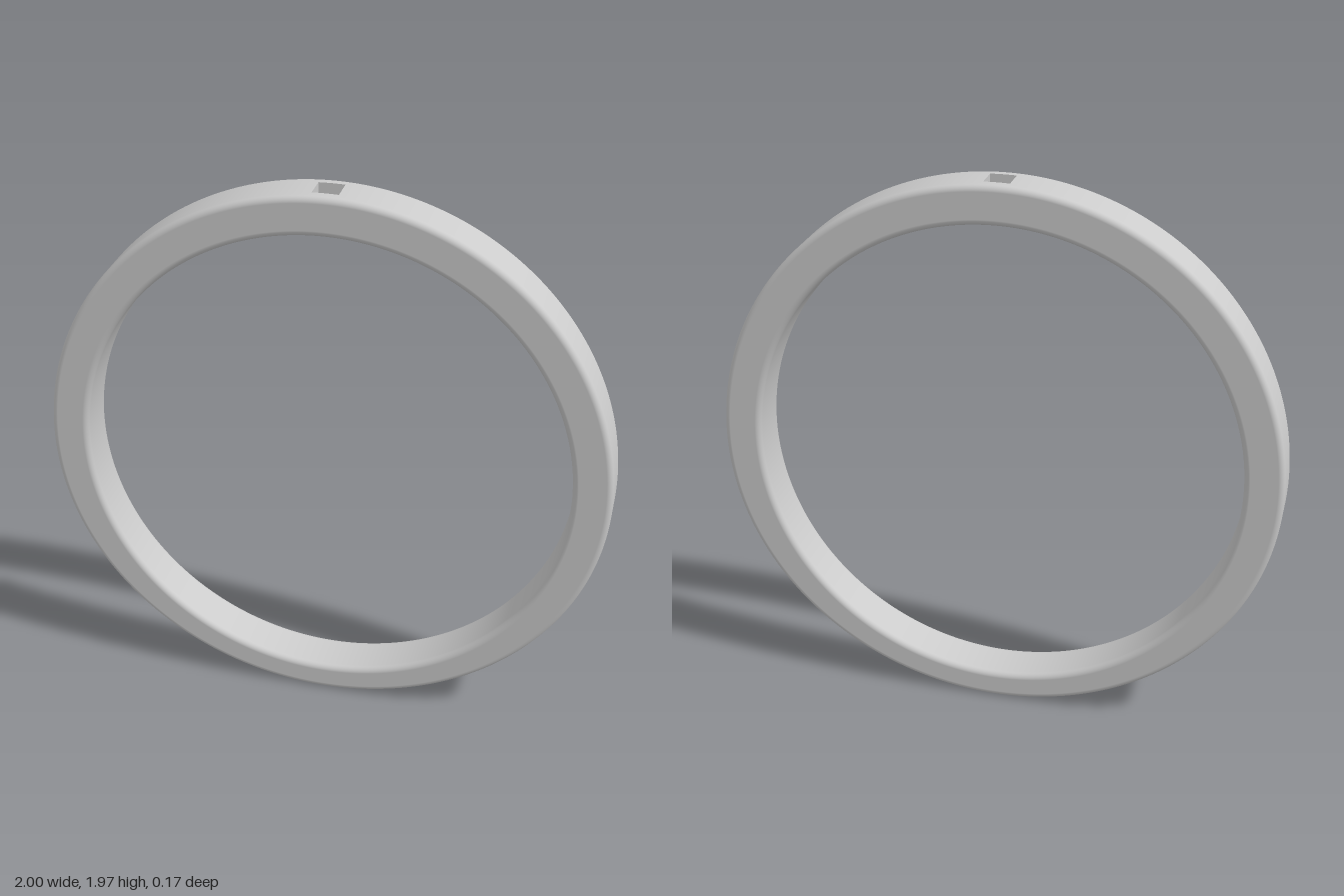
import * as THREE from 'three';

const OUTER = 1, INNER = 0.8625, HALF_DEPTH = 0.0875, FILLET = 0.022;
const CENTRE_Y = 0.965, THINNING = 0.035; // the band gets thinner towards the bottom
const STEPS = 280, POCKET_STEPS = 2;
const POCKET = Math.sin((POCKET_STEPS * 2 * Math.PI) / STEPS); // half width of the square pocket
const POCKET_DEPTH = 0.08;

// Rounded rectangular cross-section: radius, depth and normal of each point
function bandProfile() {
  const points = [-POCKET, POCKET].map(z => ({ r: OUTER, z, nr: 1, nz: 0 }));
  const corners = [[OUTER - FILLET, 1], [INNER + FILLET, 1], [INNER + FILLET, -1], [OUTER - FILLET, -1]];
  corners.forEach(([r, side], c) => {
    for (let k = 0; k <= 6; k++) {
      const a = (c + k / 6) * Math.PI / 2;
      const nr = Math.cos(a), nz = Math.sin(a);
      points.push({ r: r + FILLET * nr, z: side * (HALF_DEPTH - FILLET) + FILLET * nz, nr, nz });
    }
  });
  return points;
}

// Sweep the cross-section around the ring, leaving the pocket mouth open at the top
function bandGeometry() {
  const profile = bandProfile(), n = profile.length;
  const position = [], normal = [], index = [];
  for (let i = 0; i < STEPS; i++) {
    const t = (i / STEPS) * Math.PI * 2, s = Math.sin(t), c = Math.cos(t);
    profile.forEach(({ r, z, nr, nz }, j) => {
      const thin = c < 0 && r > (OUTER + INNER) / 2 ? THINNING : 0;
      position.push(r * s, (r - thin) * c, z);
      normal.push(nr * s, nr * c, nz);
      const inPocket = j === 0 && (i < POCKET_STEPS || i >= STEPS - POCKET_STEPS);
      if (inPocket) return;
      const i2 = (i + 1) % STEPS, j2 = (j + 1) % n;
      const a = i * n + j, b = i * n + j2, d = i2 * n + j, e = i2 * n + j2;
      index.push(a, b, e, a, e, d);
    });
  }
  const g = new THREE.BufferGeometry();
  g.setAttribute('position', new THREE.Float32BufferAttribute(position, 3));
  g.setAttribute('normal', new THREE.Float32BufferAttribute(normal, 3));
  g.setIndex(index);
  return g;
}

// Open-topped box seen from inside, its rim following the curve of the band
function pocketGeometry() {
  const g = new THREE.BoxGeometry(POCKET * 2, POCKET_DEPTH, POCKET * 2, POCKET_STEPS * 2, 1, 1);
  const p = g.attributes.position;
  for (let i = 0; i < p.count; i++) {
    const x = p.getX(i);
    p.setY(i, p.getY(i) > 0 ? Math.sqrt(OUTER * OUTER - x * x) : OUTER - POCKET_DEPTH);
  }
  const lid = g.groups[2];
  g.setIndex(Array.from(g.index.array).filter((_, k) => k < lid.start || k >= lid.start + lid.count));
  g.clearGroups();
  return g;
}

export function createModel() {
  const group = new THREE.Group();
  group.name = 'ring';
  const add = (name, geometry, side) => {
    const mesh = new THREE.Mesh(geometry, new THREE.MeshStandardMaterial({ color: 0xcccccc, side }));
    mesh.name = name;
    mesh.position.y = CENTRE_Y;
    group.add(mesh);
  };
  add('band', bandGeometry(), THREE.FrontSide);
  add('squarePocket', pocketGeometry(), THREE.BackSide);
  return group;
}
